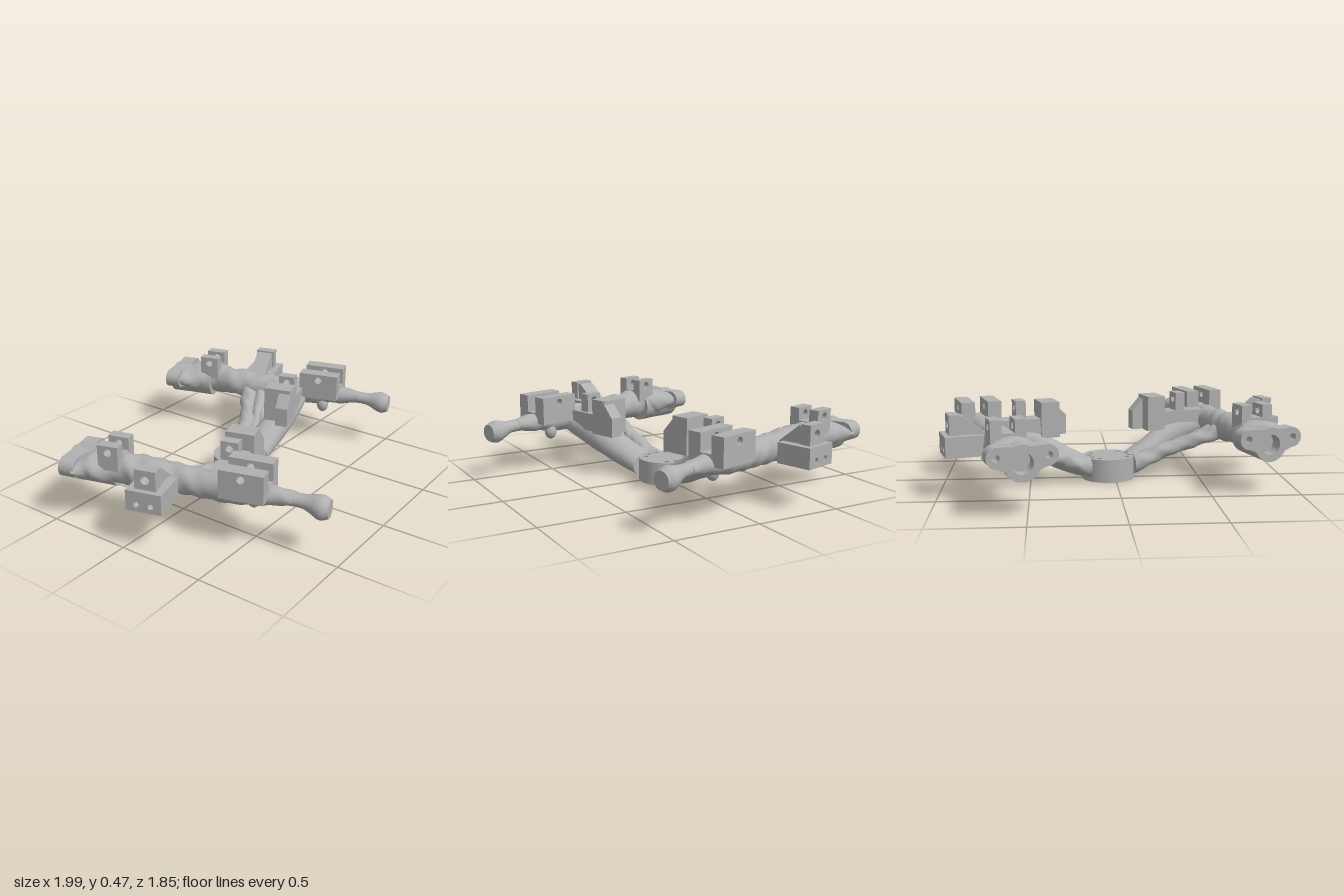
import * as THREE from 'three';
import { toCreasedNormals } from 'three/addons/utils/BufferGeometryUtils.js';

const TILT = 0.27;
const BEAM_X = 0.71;

// Lumpy tube lofted along z. Sections: [along, lateral, y, halfWidth, halfHeight]
function loft(sections, lump, steps = 10, sides = 20) {
  const curve = pick => new THREE.CatmullRomCurve3(sections.map(pick), false, 'catmullrom', 0.5);
  const mid = curve(s => new THREE.Vector3(s[1], s[2], s[0]));
  const rad = curve(s => new THREE.Vector3(s[3], s[4], 0));
  const n = (sections.length - 1) * steps;
  const pos = [], idx = [];
  for (let i = 0; i <= n; i++) {
    const c = mid.getPoint(i / n), r = rad.getPoint(i / n);
    for (let j = 0; j < sides; j++) {
      const a = j / sides * Math.PI * 2;
      const k = 1 + lump * (Math.sin(c.z * 37) * Math.cos(a * 2 + 0.6) + 0.7 * Math.sin(c.z * 59 + 1) * Math.cos(a * 3));
      pos.push(c.x + Math.cos(a) * r.x * k, c.y + Math.sin(a) * r.y * k, c.z);
    }
  }
  for (let i = 0; i < n; i++) for (let j = 0; j < sides; j++) {
    const a = i * sides + j, b = i * sides + (j + 1) % sides, c = b + sides, d = a + sides;
    idx.push(a, b, d, b, c, d);
  }
  // End caps
  for (const end of [0, n]) {
    const p = mid.getPoint(end / n), centre = pos.length / 3;
    pos.push(p.x, p.y, p.z);
    for (let j = 0; j < sides; j++) {
      const a = end * sides + j, b = end * sides + (j + 1) % sides;
      if (end) idx.push(centre, a, b); else idx.push(centre, b, a);
    }
  }
  const g = new THREE.BufferGeometry();
  g.setAttribute('position', new THREE.Float32BufferAttribute(pos, 3));
  g.setIndex(idx);
  return toCreasedNormals(g, 0.9);
}

// The same loft running along x, with lateral given as z
function loftX(sections, lump) {
  return loft(sections.map(([x, z, ...rest]) => [x, -z, ...rest]), lump).rotateY(Math.PI / 2);
}

// Box from centre x, z, base y and size
function box(x, y, z, w, h, d) {
  return new THREE.BoxGeometry(w, h, d).translate(x, y + h / 2, z);
}

function hole(shape, x, y, r) {
  shape.holes.push(new THREE.Path().absarc(x, y, r, 0, Math.PI * 2, true));
}

function extrude(shape, depth) {
  return toCreasedNormals(new THREE.ExtrudeGeometry(shape, { depth, bevelEnabled: false, curveSegments: 24 }), 0.6);
}

// Box with pin holes through x; holes lie at height holeY and the given z offsets
function drilled(x, y, z, w, h, d, holeY, radius, offsets = [0]) {
  const s = new THREE.Shape();
  s.moveTo(-d / 2, 0).lineTo(d / 2, 0).lineTo(d / 2, h).lineTo(-d / 2, h);
  offsets.forEach(o => hole(s, o, holeY - y, radius));
  return extrude(s, w).translate(0, 0, -w / 2).rotateY(Math.PI / 2).translate(x, y, z);
}

// Reflects a geometry in x and restores its outward winding
function mirrored(g) {
  g.scale(-1, 1, 1);
  if (!g.index) g.setIndex([...Array(g.attributes.position.count).keys()]);
  const a = g.index.array;
  for (let i = 0; i < a.length; i += 3) [a[i], a[i + 1]] = [a[i + 1], a[i]];
  return g;
}

// Rear flange: socket circle between two bolt ears
function flange() {
  const s = new THREE.Shape(), P = Math.PI;
  s.absarc(0.13, 0.035, 0.055, -P / 2, P / 2, false);
  s.absarc(0, 0, 0.095, P * 0.36, P * 0.64, false);
  s.absarc(-0.13, 0.035, 0.055, P / 2, P * 1.5, false);
  s.absarc(0, 0, 0.095, P * 1.13, P * 1.87, false);
  hole(s, 0, 0, 0.056);
  for (const x of [-0.135, 0.135]) hole(s, x, 0.035, 0.02);
  return extrude(s, 0.09).translate(0.692, 0.285, -0.713);
}

// Chamfered plate facing the hub
function chamferedPlate() {
  const s = new THREE.Shape();
  s.moveTo(0.215, 0.25).lineTo(0.39, 0.25).lineTo(0.39, 0.46).lineTo(0.3, 0.46).lineTo(0.215, 0.365);
  return extrude(s, 0.075).translate(0, 0, 0.153);
}

// Sloping web from the beam up to the outer upright
function gusset() {
  const s = new THREE.Shape();
  s.moveTo(0.76, 0.3).lineTo(0.91, 0.3).lineTo(0.91, 0.45).lineTo(0.89, 0.45).lineTo(0.76, 0.345);
  return extrude(s, 0.1).translate(0, 0, -0.2);
}

// Long beam with its flared rear and ball-ended front
function buildBeam(part) {
  part('rearFlange', flange());
  part('socketTube', new THREE.CylinderGeometry(0.094, 0.094, 0.2, 32).rotateX(Math.PI / 2).translate(0.692, 0.285, -0.535));
  part('sideBeam', loft([
    [-0.635, 0.697, 0.315, 0.172, 0.06],
    [-0.54, 0.705, 0.305, 0.148, 0.08],
    [-0.43, BEAM_X, 0.305, 0.088, 0.088],
    [-0.25, 0.7, 0.3, 0.097, 0.085],
    [0, 0.7, 0.295, 0.075, 0.078],
    [0.25, BEAM_X, 0.298, 0.08, 0.075],
    [0.56, BEAM_X, 0.305, 0.043, 0.036]], 0.07));
  part('frontKnob', loft([
    [0.5, BEAM_X, 0.305, 0.046, 0.04],
    [0.61, BEAM_X, 0.3, 0.043, 0.037],
    [0.7, 0.715, 0.286, 0.067, 0.065],
    [0.75, 0.715, 0.284, 0.052, 0.05]], 0));
  part('hangingKnob', new THREE.SphereGeometry(0.036, 20, 14).scale(1, 1.25, 1).translate(0.67, 0.235, 0.33));
}

// Channel clamp: a floor between two drilled uprights
function buildClamp(part, name, z, width, wall, depth, bottom, floor, top) {
  part(name + 'Floor', box(0.715, bottom, z, width - wall, floor - bottom, depth));
  for (const side of [-1, 1]) {
    const x = 0.715 + side * (width - wall) / 2;
    part(name + 'Upright', drilled(x, bottom, z, wall, top - bottom, depth, top - 0.038, 0.022));
  }
}

// Bracket standing out from the side of the beam
function buildOuterBracket(part) {
  const z = -0.15;
  part('outerBracketFoot', box(0.86, 0.235, z, 0.14, 0.115, 0.2));
  part('outerBracketFace', drilled(0.965, 0.235, z, 0.07, 0.115, 0.2, 0.275, 0.016, [-0.04, 0.04]));
  part('outerBracketUpright', drilled(0.94, 0.35, z, 0.06, 0.11, 0.12, 0.405, 0.025));
  part('outerBracketGusset', gusset());
}

// Smooth front strut carrying a bracket
function buildFrontStrut(part) {
  part('frontStrut', loftX([
    [0.135, 0.045, 0.073, 0.088, 0.066],
    [0.24, 0.065, 0.115, 0.092, 0.08],
    [0.45, 0.13, 0.215, 0.08, 0.09],
    [0.71, 0.16, 0.29, 0.07, 0.06]], 0.01));
  part('strutBracketBase', box(0.55, 0.255, 0.145, 0.36, 0.107, 0.13));
  part('strutBracketPlate', chamferedPlate());
  part('strutBracketInnerUpright', box(0.335, 0.25, 0.142, 0.11, 0.21, 0.165));
  part('strutBracketUpright', drilled(0.505, 0.35, 0.14, 0.06, 0.122, 0.1, 0.432, 0.022));
}

// Gnarled rear strut with its thinner companion
function buildRearStrut(part) {
  part('rearStrut', loftX([
    [0.135, -0.055, 0.08, 0.066, 0.055],
    [0.35, -0.085, 0.165, 0.048, 0.045],
    [0.55, -0.145, 0.235, 0.047, 0.044],
    [0.7, -0.17, 0.295, 0.07, 0.06]], 0.13));
  part('rearStrutBranch', loftX([
    [0.14, -0.01, 0.07, 0.045, 0.04],
    [0.36, -0.035, 0.15, 0.026, 0.026],
    [0.68, -0.09, 0.285, 0.045, 0.04]], 0.12));
}

// Hub disc with two arcs of bolt holes
function hubDisc() {
  const disc = new THREE.Shape();
  disc.absarc(0, 0, 0.155, 0, Math.PI * 2, false);
  for (const side of [0, 180]) for (const deg of [-43, -14, 14, 43]) {
    const a = THREE.MathUtils.degToRad(side + deg);
    hole(disc, Math.cos(a) * 0.117, Math.sin(a) * 0.117, 0.017);
  }
  return extrude(disc, 0.135).rotateX(-Math.PI / 2);
}

export function createModel() {
  const model = new THREE.Group();
  const grey = new THREE.MeshStandardMaterial({ color: 0xb0b0b0 });
  grey.name = 'plain grey';
  const frame = new THREE.Group();
  frame.name = 'frame';
  frame.rotation.y = TILT;
  frame.position.x = 0.04;
  model.add(frame);

  const add = (parent, name, geometry) => {
    const mesh = new THREE.Mesh(geometry, grey);
    mesh.name = name;
    parent.add(mesh);
  };
  add(frame, 'hub', hubDisc());

  // Matching left and right arms
  for (const name of ['leftArm', 'rightArm']) {
    const arm = new THREE.Group();
    arm.name = name;
    const part = (label, g) => add(arm, label, name === 'rightArm' ? mirrored(g) : g);
    buildBeam(part);
    buildClamp(part, 'rearClamp', -0.445, 0.19, 0.06, 0.12, 0.33, 0.4, 0.472);
    buildClamp(part, 'frontClamp', 0.312, 0.235, 0.08, 0.245, 0.3, 0.362, 0.462);
    buildOuterBracket(part);
    buildFrontStrut(part);
    buildRearStrut(part);
    frame.add(arm);
  }
  return model;
}
